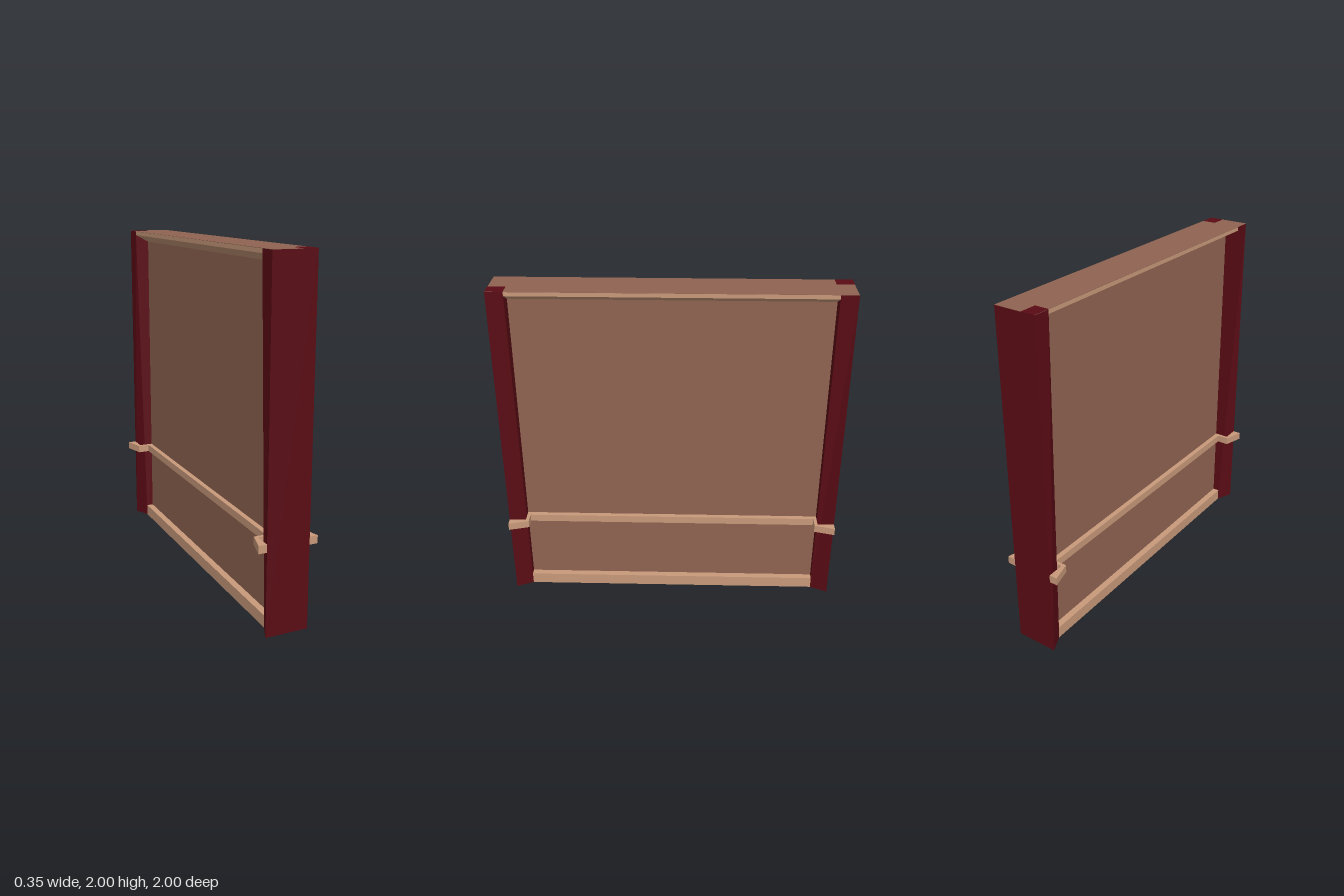
import * as THREE from 'three';

const mat = (color) => new THREE.MeshStandardMaterial({ color, flatShading: true });

export function createModel() {
  const root = new THREE.Group();
  const red = mat(0x5a0b14), brown = mat(0x8f6351), tan = mat(0xc8997a);

  const add = (name, geometry, material, x = 0, y = 0, z = 0) => {
    const mesh = new THREE.Mesh(geometry, material);
    mesh.name = name;
    mesh.position.set(x, y, z);
    root.add(mesh);
    return mesh;
  };
  const box = (name, material, w, h, d, x, y, z) =>
    add(name, new THREE.BoxGeometry(w, h, d), material, x, y, z);
  // Profile in x and y, swept along z and centred
  const sweep = (points, depth) => {
    const shape = new THREE.Shape(points.map(([x, y]) => new THREE.Vector2(x, y)));
    return new THREE.ExtrudeGeometry(shape, { depth, bevelEnabled: false }).translate(0, 0, -depth / 2);
  };

  // Wall panel between the posts
  box('panel', brown, 0.08, 1.92, 1.8, 0, 0.99, 0);

  // Top beam with chamfered underside and a flat cover
  add('topBeam', sweep([[-0.04, 1.93], [0.04, 1.93], [0.125, 1.975], [0.125, 1.998],
    [-0.125, 1.998], [-0.125, 1.975]], 1.8), tan);
  box('topCover', brown, 0.25, 0.002, 1.998, 0, 1.9985, 0);

  // Bottom rail with a groove underneath
  add('bottomRail', sweep([[-0.08, 0], [-0.06, 0], [-0.06, 0.03], [0.06, 0.03],
    [0.06, 0], [0.08, 0], [0.08, 0.07], [-0.08, 0.07]], 1.8), tan);

  // Horizontal rail on both faces of the panel
  box('middleRail', tan, 0.14, 0.045, 1.8, 0, 0.5025, 0);

  for (const s of [1, -1]) {
    // End post, its inner edge narrowing towards the foot
    const post = new THREE.BoxGeometry(0.25, 1.998, 0.1);
    const p = post.attributes.position;
    for (let i = 0; i < p.count; i++) {
      if (p.getY(i) < 0 && p.getZ(i) * s < 0) p.setX(i, Math.sign(p.getX(i)) * 0.08);
    }
    post.computeVertexNormals();
    add(s > 0 ? 'frontPost' : 'backPost', post, red, 0, 0.999, s * 0.95);

    // Exposed post top
    box('postTop', red, 0.083, 0.002, 0.1, s * 0.0835, 1.999, s * 0.95);

    // Flared bracket blocks on both sides of the post
    for (const m of [1, -1]) {
      const shape = new THREE.Shape([[0.04, 0.88], [0.14, 0.88], [0.173, 1], [0.1245, 1],
        [0.1245, 0.9], [0.04, 0.9]].map(([x, z]) => new THREE.Vector2(m * x, s * z)));
      const block = new THREE.ExtrudeGeometry(shape, { depth: 0.045, bevelEnabled: false });
      block.rotateX(Math.PI / 2);
      add('railBracket', block, tan, 0, 0.525, 0);
    }
  }
  return root;
}
